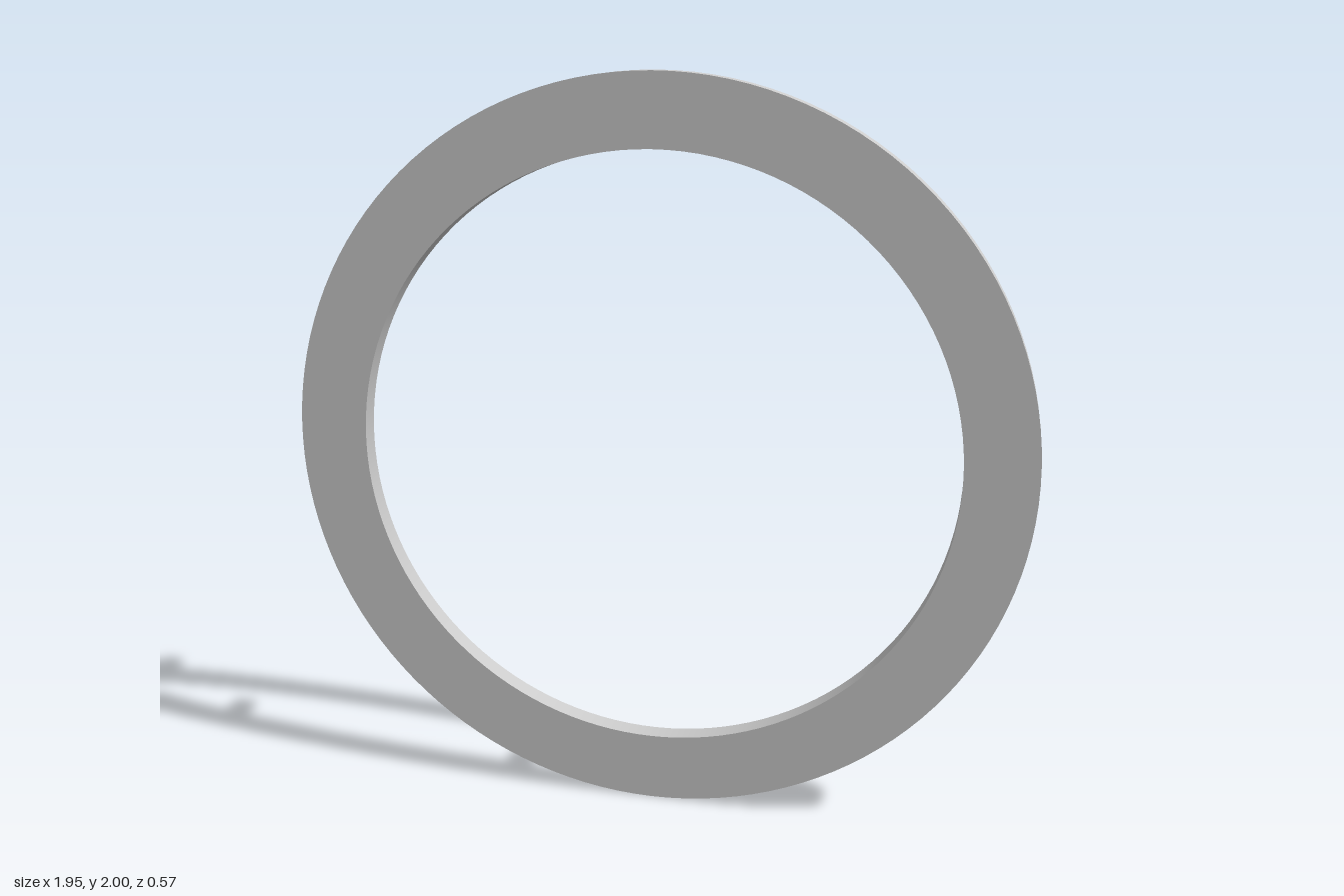
import * as THREE from 'three';

export function createModel() {
  const model = new THREE.Group();
  model.name = 'ringWithPegs';
  const material = new THREE.MeshStandardMaterial({ color: 0xcccccc });
  const outer = 1, inner = 0.81, half = 0.0275;

  // Flat ring: closed rectangular section, each side lathed separately for sharp edges
  const ring = new THREE.Group();
  ring.name = 'ring';
  const corners = [[inner, -half], [outer, -half], [outer, half], [inner, half]];
  const names = ['backFace', 'outerRim', 'frontFace', 'innerRim'];
  corners.forEach((corner, i) => {
    const side = [corner, corners[(i + 1) % 4]].map(([r, y]) => new THREE.Vector2(r, y));
    const geometry = new THREE.LatheGeometry(side, 128);
    geometry.rotateX(Math.PI / 2);
    const mesh = new THREE.Mesh(geometry, material);
    mesh.name = names[i];
    ring.add(mesh);
  });
  model.add(ring);

  // Four mounting pegs on the back of the right-hand side
  const pegLength = 0.105, pegRadius = 0.032, pegCircle = 0.905;
  for (const degrees of [110, 160, 200, 250]) {
    const angle = THREE.MathUtils.degToRad(degrees);
    const geometry = new THREE.CylinderGeometry(pegRadius, pegRadius, pegLength, 32);
    geometry.rotateX(Math.PI / 2);
    const peg = new THREE.Mesh(geometry, material);
    peg.name = 'peg';
    peg.position.set(pegCircle * Math.cos(angle), pegCircle * Math.sin(angle), -0.125 + pegLength / 2);
    model.add(peg);
  }

  // Stand the ring on the ground, turned slightly about the vertical
  model.position.y = outer;
  model.rotation.y = THREE.MathUtils.degToRad(15);
  const root = new THREE.Group();
  root.name = 'model';
  root.add(model);
  return root;
}
